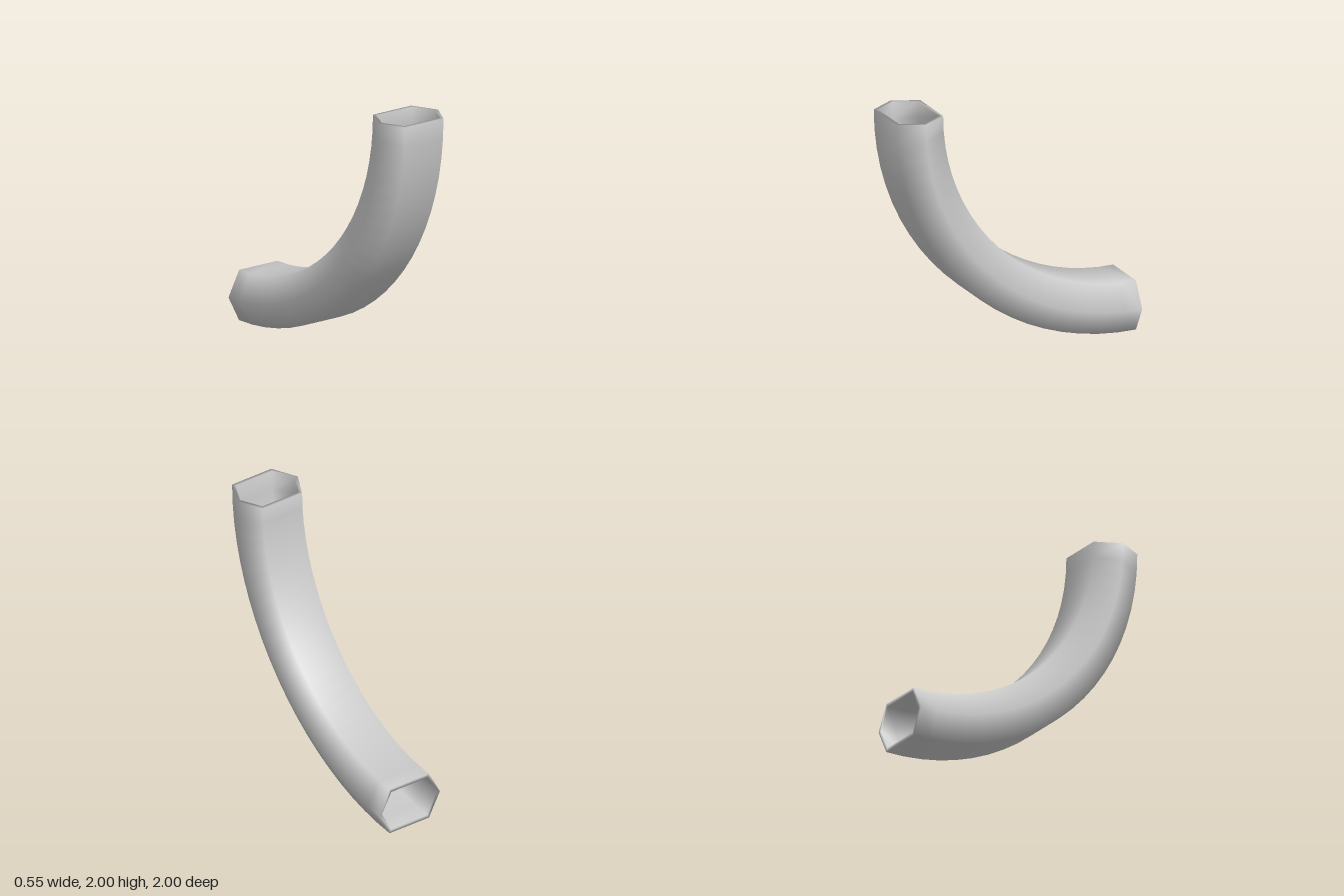
import * as THREE from 'three';

const STEPS = 20;        // segments along the quarter bend
const RADIUS = 1.805;    // bend radius of the centre line

// Hexagonal cross-section: half width, half width of the flats, half height
const hexagon = (w, f, h) => [[w, 0], [f, h], [-f, h], [-w, 0], [-f, -h], [f, -h]];

function bentPipeGeometry(outer, inner) {
  const sides = outer.length;
  const rings = [];
  // Along the outer wall, then back along the inner wall
  for (let i = 0; i <= STEPS; i++) rings.push([outer, i]);
  for (let i = STEPS; i >= 0; i--) rings.push([inner, i]);

  const positions = [], indices = [];
  rings.forEach(([section, i], row) => {
    const angle = (i / STEPS) * Math.PI / 2;
    const next = (row + 1) % rings.length;   // wrapping closes the end rims
    section.forEach(([x, v], j) => {
      const r = RADIUS + v;
      positions.push(x, 2 - r * Math.sin(angle), -1 + r * Math.cos(angle));
      const k = (j + 1) % sides;
      const a = row * sides + j, b = row * sides + k;
      const c = next * sides + k, d = next * sides + j;
      indices.push(a, b, c, a, c, d);
    });
  });

  const geometry = new THREE.BufferGeometry();
  geometry.setAttribute('position', new THREE.Float32BufferAttribute(positions, 3));
  geometry.setIndex(indices);
  geometry.computeVertexNormals();
  return geometry;
}

export function createModel() {
  const group = new THREE.Group();
  group.name = 'pipeBend';
  const pipe = new THREE.Mesh(
    bentPipeGeometry(hexagon(0.277, 0.178, 0.195), hexagon(0.247, 0.163, 0.167)),
    new THREE.MeshStandardMaterial({ color: 0xcccccc })
  );
  pipe.name = 'hexagonalPipe';
  group.add(pipe);
  return group;
}
